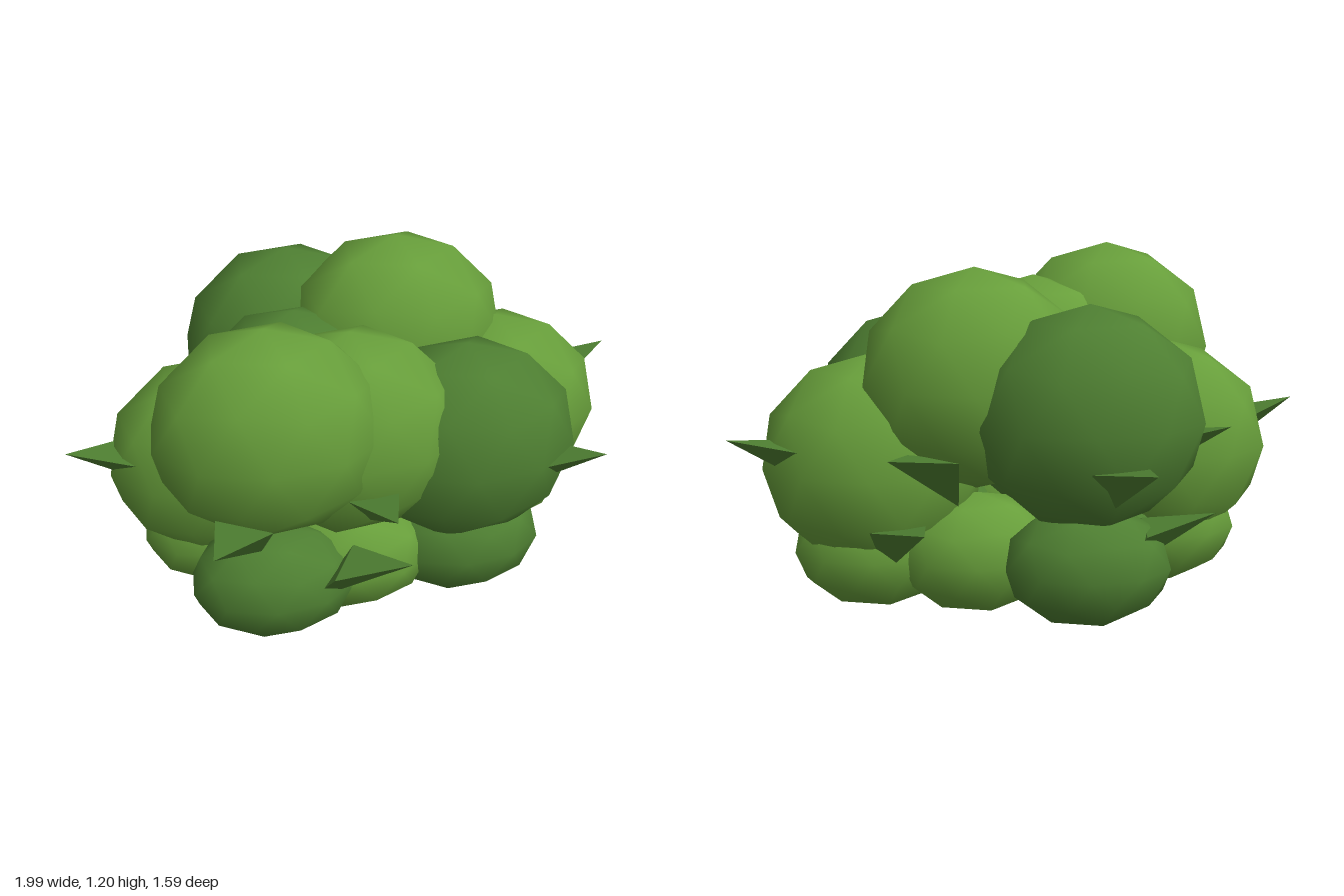
import * as THREE from 'three';

export function createModel() {
  const group = new THREE.Group();
  const lightGreen = new THREE.MeshStandardMaterial({ color: 0x689f3b });
  lightGreen.name = 'light green';
  const darkGreen = new THREE.MeshStandardMaterial({ color: 0x4f8032 });
  darkGreen.name = 'dark green';

  // Smooth low-poly ball with a vertex at each pole
  const ball = (rx, ry, rz) => {
    const g = new THREE.IcosahedronGeometry(1, 1);
    g.rotateZ(Math.atan(2 / (1 + Math.sqrt(5))));
    g.rotateY(Math.PI);
    g.scale(rx, ry, rz);
    return g;
  };
  const bigBall = ball(0.39, 0.38, 0.27);
  const smallBall = ball(0.29, 0.215, 0.195);

  // Pointed kite-shaped leaf: tip at the origin, pointing to +z
  const tip = [0, 0, 0], left = [-0.1, -0.05, -0.24];
  const right = [0.1, -0.05, -0.24], tail = [0, -0.25, -0.37];
  const leafGeometry = new THREE.BufferGeometry();
  leafGeometry.setAttribute('position', new THREE.Float32BufferAttribute([
    tip, right, left, tip, left, tail, tip, tail, right, left, right, tail,
  ].flat(2), 3));
  leafGeometry.computeVertexNormals();

  const add = (name, geometry, material, x, y, z) => {
    const mesh = new THREE.Mesh(geometry, material);
    mesh.name = name;
    mesh.position.set(x, y, z);
    group.add(mesh);
    return mesh;
  };

  // Leaf whose tip lies at (x, y, z), pointing away from the clump centre
  const addLeaf = (name, x, y, z, cx, cz) => {
    add(name, leafGeometry, darkGreen, x, y, z).rotation.y = Math.atan2(x - cx, z - cz);
  };

  // Clumps: name, x, upper height, z, upper colour, lower colour,
  // upper leaf tip, optional lower leaf tip
  const clumps = [
    ['frontRight', -0.33, 0.83, 0.37, lightGreen, darkGreen, [-0.53, 0.79], [0.12, 0.58]],
    ['frontMiddle', -0.05, 0.73, 0.25, lightGreen, lightGreen, [0.05, 0.68]],
    ['frontLeft', 0.35, 0.63, 0.2, darkGreen, darkGreen, [0.8, 0.4]],
    ['farLeft', 0.52, 0.53, -0.15, lightGreen, lightGreen, [0.99, -0.33], [0.34, -0.57]],
    ['backLeft', 0.17, 0.83, -0.22, lightGreen, lightGreen, [0.45, -0.6]],
    ['backRight', -0.2, 0.73, -0.37, darkGreen, darkGreen, [-0.37, -0.8], [-0.63, -0.38]],
    ['middle', -0.2, 0.63, -0.09, darkGreen, darkGreen, [-0.7, -0.24]],
    ['farRight', -0.49, 0.53, 0.05, lightGreen, lightGreen, [-1, 0.17]],
  ];
  for (const [name, x, y, z, upper, lower, high, low] of clumps) {
    add(name + 'UpperFoliage', bigBall, upper, x, y, z);
    add(name + 'LowerFoliage', smallBall, lower, x, 0.22, z);
    addLeaf(name + 'UpperLeaf', high[0], 0.66, high[1], x, z);
    if (low) addLeaf(name + 'LowerLeaf', low[0], 0.4, low[1], x, z);
  }
  return group;
}
